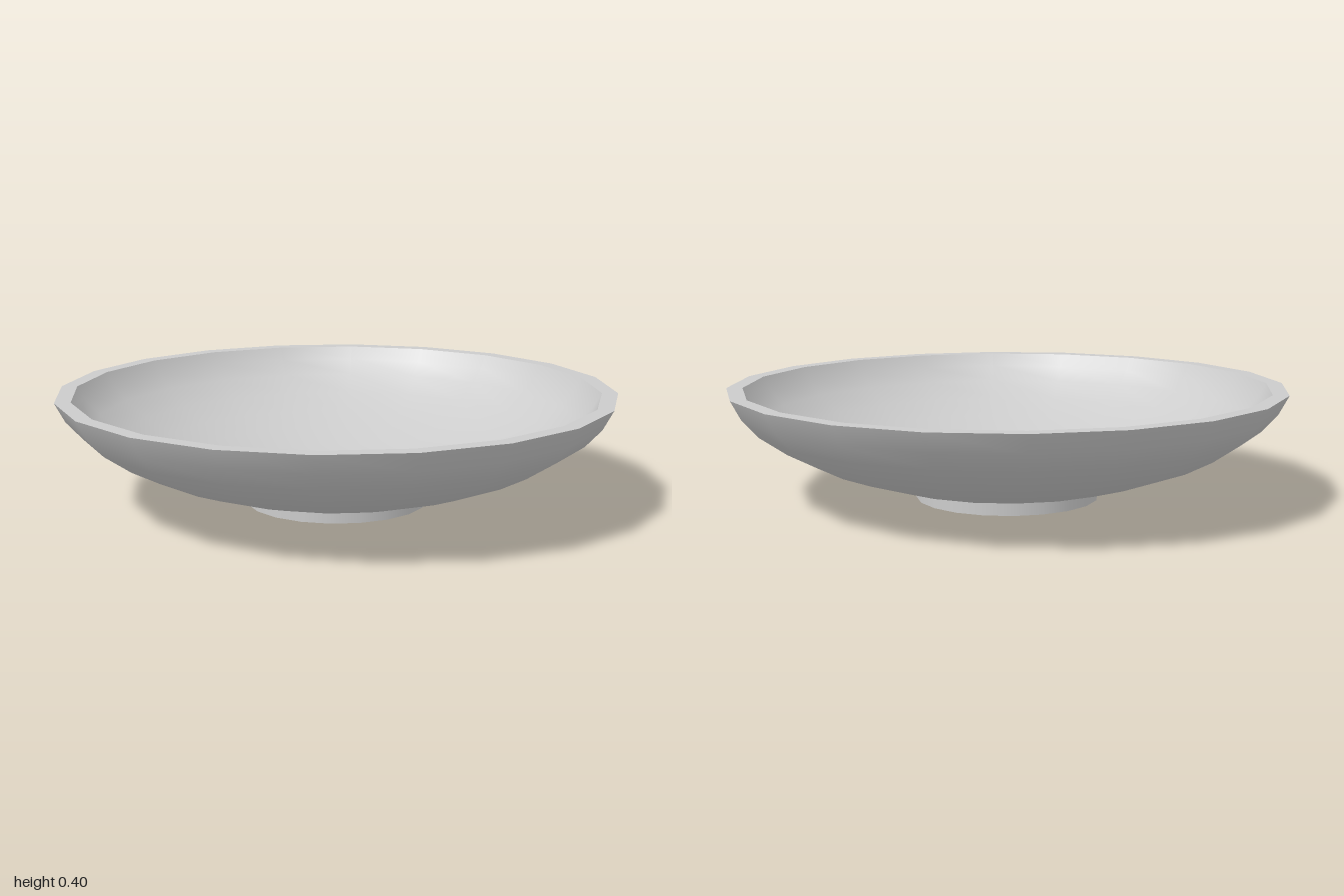
import * as THREE from 'three';

const SIDES = 20;

export function createModel() {
  const model = new THREE.Group();
  const material = new THREE.MeshStandardMaterial({ color: 0xcccccc });

  // Each section is its own lathe, so the edges between sections stay sharp.
  // Profiles run from the underside outwards, up, and back in to the floor.
  function addSection(parent, name, profile) {
    const points = profile.map(([r, y]) => new THREE.Vector2(r, y));
    const mesh = new THREE.Mesh(new THREE.LatheGeometry(points, SIDES), material);
    mesh.name = name;
    parent.add(mesh);
  }

  // Foot ring with a shallow recess underneath
  const foot = new THREE.Group();
  foot.name = 'foot';
  addSection(foot, 'footRecess', [[0, 0.025], [0.285, 0.025]]);
  addSection(foot, 'footInnerWall', [[0.285, 0.025], [0.285, 0]]);
  addSection(foot, 'footBase', [[0.285, 0], [0.33, 0]]);
  addSection(foot, 'footOuterWall', [[0.33, 0], [0.33, 0.05]]);

  // Shallow bowl: curved outside, flat rim, curved inside and flat floor
  const bowl = new THREE.Group();
  bowl.name = 'bowl';
  addSection(bowl, 'bowlOutside', [
    [0.33, 0.05], [0.46, 0.073], [0.6, 0.115], [0.71, 0.155],
    [0.81, 0.207], [0.905, 0.272], [0.963, 0.335], [1, 0.404],
  ]);
  addSection(bowl, 'rim', [[1, 0.404], [0.943, 0.404]]);
  addSection(bowl, 'bowlInside', [
    [0.943, 0.404], [0.915, 0.355], [0.865, 0.3], [0.78, 0.238],
    [0.68, 0.185], [0.57, 0.142], [0.44, 0.102], [0.33, 0.078], [0.21, 0.062],
  ]);
  addSection(bowl, 'floor', [[0.21, 0.062], [0, 0.062]]);

  model.add(foot, bowl);
  return model;
}
